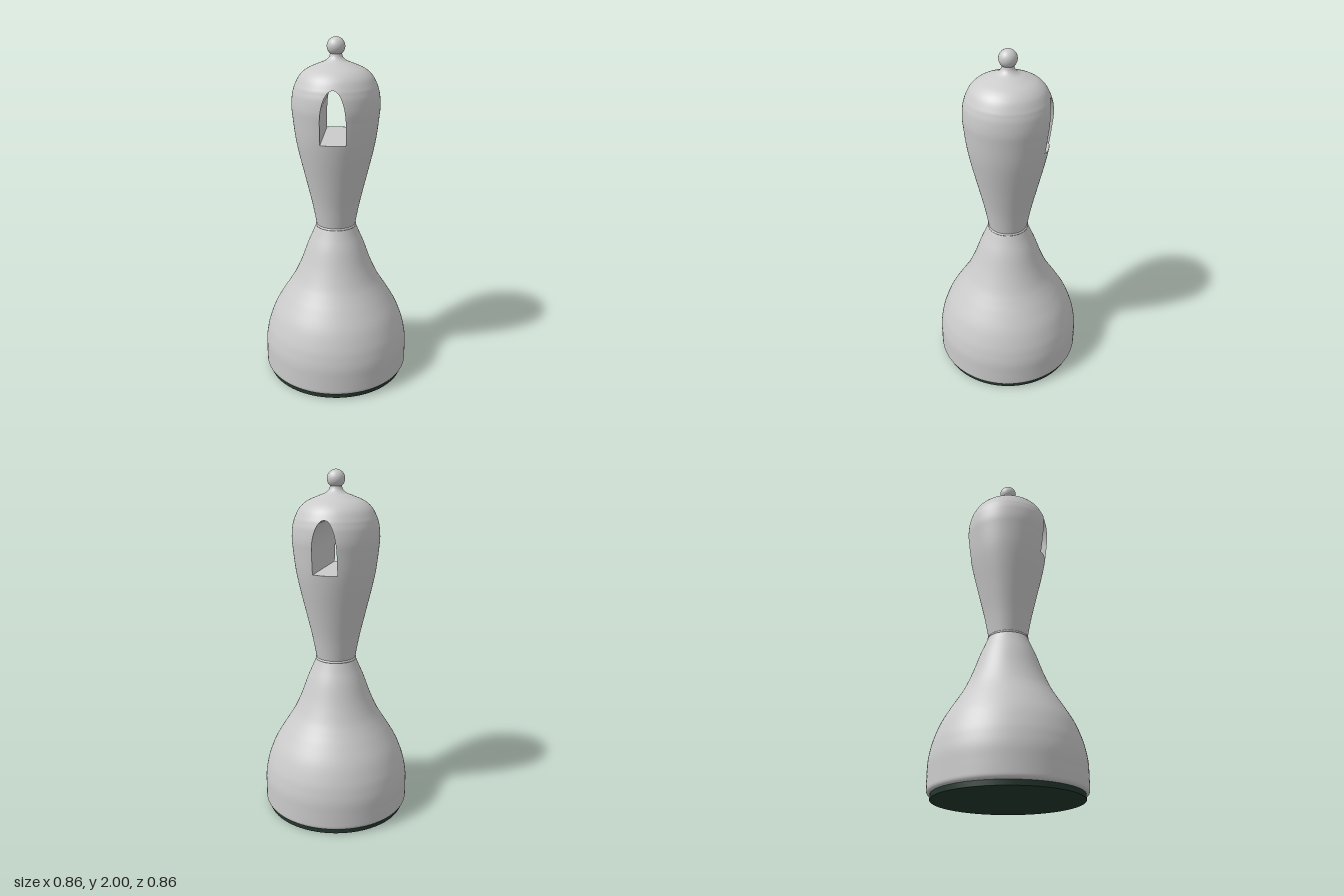
import * as THREE from 'three';

const GREY = () => new THREE.MeshStandardMaterial({ color: 0xcccccc });
const SILL = 1.455, SPRING = 1.57, CROWN = 1.75, HALF = 0.07;

function add(group, name, geometry, material = GREY()) {
  const mesh = new THREE.Mesh(geometry, material);
  mesh.name = name;
  group.add(mesh);
  return mesh;
}

// Half-width of the arched window at height y
function windowHalf(y) {
  if (y < SILL - 1e-6 || y >= CROWN - 1e-6) return 0;
  const t = Math.max(0, (y - SPRING) / (CROWN - SPRING));
  return HALF * Math.sqrt(1 - t * t);
}

// Smooth curve through [radius, height] points, steps per segment
function smooth(points, steps) {
  const curve = new THREE.SplineCurve(points.map(([r, y]) => new THREE.Vector2(r, y)));
  return curve.getPoints((points.length - 1) * steps);
}

// Grid surface facing (column direction) x (row direction)
function grid(rows, cols, at, normalAt) {
  const pos = [], nor = [], index = [];
  for (let i = 0; i <= rows; i++) {
    for (let j = 0; j <= cols; j++) {
      pos.push(...at(i, j / cols));
      if (normalAt) nor.push(...normalAt(i, j / cols));
      if (i < rows && j < cols) {
        const a = i * (cols + 1) + j, c = a + cols + 1;
        index.push(a, a + 1, c, a + 1, c + 1, c);
      }
    }
  }
  const g = new THREE.BufferGeometry();
  g.setAttribute('position', new THREE.Float32BufferAttribute(pos, 3));
  g.setIndex(index);
  if (normalAt) g.setAttribute('normal', new THREE.Float32BufferAttribute(nor, 3));
  else g.computeVertexNormals();
  return g;
}

export function createModel() {
  const model = new THREE.Group();
  model.name = 'bellShapedPiece';

  // Dark pad under the base
  const pad = new THREE.CylinderGeometry(0.41, 0.41, 0.03, 96);
  pad.translate(0, 0.015, 0);
  add(model, 'basePad', pad, new THREE.MeshStandardMaterial({ color: 0x24382f }));

  // Rounded lower rim and underside of the bell
  const rim = [[0.4, 0.028], [0.415, 0.029], [0.424, 0.034], [0.429, 0.044], [0.43, 0.055]];
  add(model, 'baseRim', new THREE.LatheGeometry(smooth(rim, 3), 96));

  // Bell-shaped lower body
  const bell = [[0.43, 0.055], [0.43, 0.12], [0.429, 0.19], [0.42, 0.25], [0.405, 0.31], [0.37, 0.4],
    [0.318, 0.49], [0.28, 0.55], [0.245, 0.61], [0.205, 0.7], [0.165, 0.81], [0.135, 0.88], [0.115, 0.93]];
  add(model, 'bell', new THREE.LatheGeometry(smooth(bell, 5), 96));

  // Thin collar at the waist
  const collar = new THREE.TorusGeometry(0.112, 0.007, 10, 96);
  collar.rotateX(Math.PI / 2);
  collar.translate(0, 0.93, 0);
  add(model, 'collar', collar);

  // Handle profile, with the window half-width stored per row
  const profile = smooth([[0.112, 0.93], [0.137, 1.06], [0.17, 1.2], [0.206, 1.35], [0.227, SILL], [0.241, SPRING],
    [0.246, 1.63], [0.242, 1.69], [0.234, 1.725], [0.225, CROWN], [0.2, 1.795], [0.16, 1.83], [0.1, 1.857],
    [0.06, 1.873], [0.038, 1.893], [0.03, 1.92]], 10);
  const rows = [];
  profile.forEach((p, k) => {
    const a = profile[Math.max(0, k - 1)], b = profile[Math.min(profile.length - 1, k + 1)];
    const t = b.clone().sub(a).normalize();
    const row = { r: p.x, y: p.y, dr: t.x, dy: t.y, w: windowHalf(p.y) };
    // The sill row appears twice: closed below, open above
    if (Math.abs(p.y - SILL) < 1e-6) rows.push({ ...row, w: 0 });
    rows.push(row);
  });

  // Two half shells of the handle, parted at the front and back by the window
  for (const [name, start] of [['handleLeftHalf', 0], ['handleRightHalf', Math.PI]]) {
    const angle = (row, v) => {
      const gap = Math.asin(row.w / row.r);
      return start + gap + v * (Math.PI - 2 * gap);
    };
    add(model, name, grid(rows.length - 1, 48, (i, v) => {
      const q = rows[i], a = angle(q, v);
      return [q.r * Math.sin(a), q.y, q.r * Math.cos(a)];
    }, (i, v) => {
      const q = rows[i], a = angle(q, v);
      return [q.dy * Math.sin(a), -q.dr, q.dy * Math.cos(a)];
    }));
  }

  // Arched lining running through the handle from back to front
  const open = rows.filter((q) => q.w > 0);
  const crown = rows.find((q) => Math.abs(q.y - CROWN) < 1e-6);
  const outline = [...open.map((q) => ({ ...q, x: q.w })), { ...crown, x: 0 },
    ...open.map((q) => ({ ...q, x: -q.w })).reverse()];
  add(model, 'windowLining', grid(outline.length - 1, 1, (i, v) => {
    const q = outline[i];
    return [q.x, q.y, Math.sqrt(q.r * q.r - q.x * q.x) * (2 * v - 1)];
  }));

  // Flat window sill with curved ends
  const sillR = open[0].r;
  add(model, 'windowSill', grid(1, 16, (i, v) => {
    const x = HALF * (2 * v - 1);
    return [x, SILL, Math.sqrt(sillR * sillR - x * x) * (1 - 2 * i)];
  }));

  // Ball finial
  const ball = add(model, 'finial', new THREE.SphereGeometry(0.05, 40, 28));
  ball.position.y = 1.95;

  return model;
}
